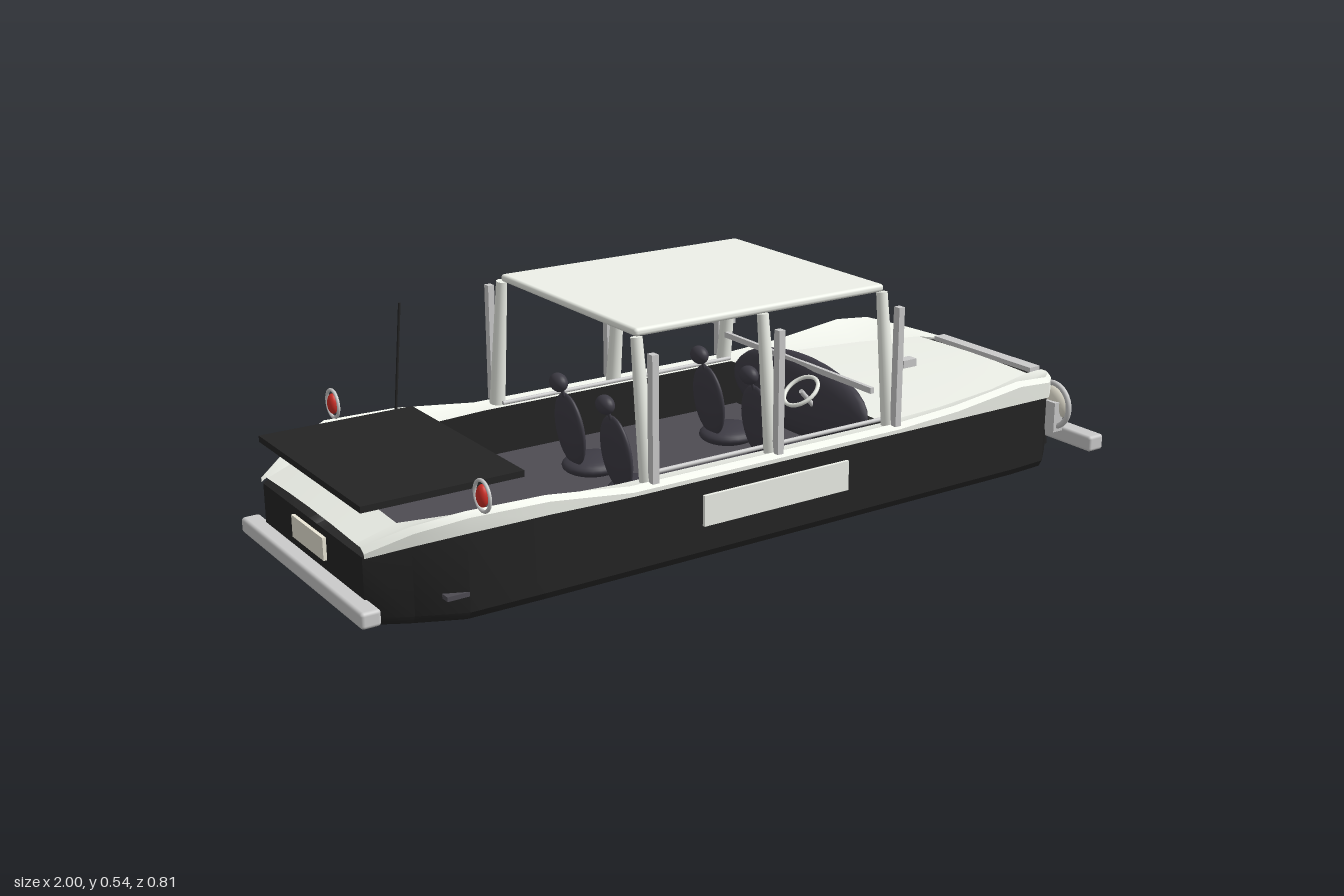
import * as THREE from 'three';
import { toCreasedNormals } from 'three/addons/utils/BufferGeometryUtils.js';
import { RoundedBoxGeometry } from 'three/addons/geometries/RoundedBoxGeometry.js';

const mat = (color) => new THREE.MeshStandardMaterial({ color, side: THREE.DoubleSide });
const white = mat(0xeef1e9), black = mat(0x242424), tubGrey = mat(0x4e4c53), seatGrey = mat(0x3e3c45);
const grey = mat(0xbcbcbc), cream = mat(0xece8d8), red = mat(0xd03028);

// Skin over cross-sections; each section is a list of [x, y, z]. Ends may be capped.
function loft(sections, capped = false) {
  const n = sections[0].length, pos = sections.flat(2), idx = [];
  for (let i = 0; i < sections.length - 1; i++)
    for (let j = 0; j < n - 1; j++) {
      const a = i * n + j, b = a + n;
      idx.push(a, b, a + 1, b, b + 1, a + 1);
    }
  if (capped)
    for (let j = 1; j < n - 1; j++) {
      const e = (sections.length - 1) * n;
      idx.push(0, j, j + 1, e, e + j + 1, e + j);
    }
  const g = new THREE.BufferGeometry();
  g.setAttribute('position', new THREE.Float32BufferAttribute(pos, 3));
  g.setIndex(idx);
  return toCreasedNormals(g, 0.5);
}

export function createModel() {
  const model = new THREE.Group();
  const car = new THREE.Group();
  car.name = 'openCar';
  car.position.z = 0.013;
  model.add(car);

  const add = (name, geo, m, x = 0, y = 0, z = 0) => {
    const mesh = new THREE.Mesh(geo, m);
    mesh.name = name;
    mesh.position.set(x, y, z);
    car.add(mesh);
    return mesh;
  };
  const box = (name, m, w, h, d, x, y, z) => add(name, new THREE.BoxGeometry(w, h, d), m, x, y, z);
  const ball = (name, m, rx, ry, rz, x, y, z) => {
    const b = add(name, new THREE.SphereGeometry(1, 24, 16), m, x, y, z);
    b.scale.set(rx, ry, rz);
    return b;
  };
  // Round bar from a (radius ra) to b (radius rb)
  const rod = (name, m, ra, a, b, rb = ra) => {
    const p = new THREE.Vector3(...a), q = new THREE.Vector3(...b);
    const mesh = add(name, new THREE.CylinderGeometry(rb, ra, p.distanceTo(q), 16), m);
    mesh.position.lerpVectors(p, q, 0.5);
    mesh.quaternion.setFromUnitVectors(new THREE.Vector3(0, 1, 0), q.sub(p).normalize());
  };

  // Body stations: x, outer half width, inner half width, rim top, rim bottom
  const stations = [
    [-0.965, 0.262, 0.225, 0.185, 0.165], [-0.88, 0.31, 0.235, 0.224, 0.188],
    [-0.78, 0.355, 0.255, 0.25, 0.208], [-0.6, 0.358, 0.278, 0.246, 0.208],
    [-0.4, 0.358, 0.298, 0.222, 0.203], [0.32, 0.358, 0.3, 0.222, 0.203],
    [0.5, 0.358, 0.288, 0.232, 0.203], [0.7, 0.358, 0.255, 0.256, 0.203],
    [0.8, 0.352, 0.225, 0.248, 0.2], [0.87, 0.29, 0.205, 0.228, 0.187],
    [0.955, 0.205, 0.17, 0.2, 0.165],
  ];
  const inner = (top) => Math.min(top, 0.213);

  // Dark open hull with a chamfered flat bottom
  add('hull', loft(stations.map(([x, w, , , low]) => {
    const v = w - 0.01;
    return [[x, low, -v], [x, 0.035, -v], [x, 0.018, -v + 0.01], [x, 0.009, -v + 0.03],
      [x, 0.009, v - 0.03], [x, 0.018, v - 0.01], [x, 0.035, v], [x, low, v]];
  }), true), black);

  // White rim with raised wings, one on each side
  for (const s of [1, -1])
    add('rim', loft(stations.map(([x, w, i, top, low]) => [
      [x, low, s * w], [x, top - 0.01, s * w], [x, top, s * (w - 0.015)],
      [x, inner(top) + (top - inner(top)) * 0.4, s * (w + i) / 2], [x, inner(top), s * i],
    ])), white);

  // Bonnet and tail deck
  const deck = (name, list) => add(name, loft(list.map(([x, , i, top]) =>
    [-1, -0.5, 0, 0.5, 1].map((t) => [x, inner(top) + 0.005 * (1 - t * t), t * i]))), white);
  deck('bonnet', stations.slice(5, 10));
  deck('tailDeck', stations.slice(0, 2));

  // Cabin floor between the hull sides
  box('floor', tubGrey, 1.2, 0.01, 0.69, -0.23, 0.075, 0);

  // Grille, nose and bumpers
  box('grille', black, 0.05, 0.1, 0.38, 0.885, 0.152, 0);
  box('nose', black, 0.06, 0.19, 0.36, 0.91, 0.1, 0);
  box('grilleTop', grey, 0.034, 0.014, 0.36, 0.923, 0.207, 0);
  box('grilleBar', grey, 0.016, 0.125, 0.022, 0.955, 0.138, 0);
  box('noseKeel', black, 0.05, 0.035, 0.38, 0.945, 0.02, 0);
  add('frontBumper', new RoundedBoxGeometry(0.048, 0.04, 0.728, 3, 0.008), grey, 0.966, 0.053, 0);
  add('rearBumper', new RoundedBoxGeometry(0.044, 0.036, 0.625, 3, 0.008), grey, -0.978, 0.057, 0);
  box('rearPlate', cream, 0.008, 0.05, 0.16, -0.97, 0.125, 0);
  box('bonnetOrnament', grey, 0.042, 0.02, 0.028, 0.65, 0.228, 0);

  // Rear lid, antenna
  box('rearLid', black, 0.365, 0.014, 0.515, -0.783, 0.266, 0);
  rod('antenna', black, 0.003, [-0.605, 0.24, -0.335], [-0.583, 0.495, -0.335]);

  // Details on both sides
  for (const s of [1, -1]) {
    ball('bumperStud', grey, 0.012, 0.013, 0.013, 0.988, 0.056, s * 0.153);
    box('sidePlate', white, 0.395, 0.07, 0.008, -0.022, 0.13, s * 0.352);

    // Headlamp, housing and guard ring
    ball('headlamp', cream, 0.024, 0.043, 0.043, 0.867, 0.165, s * 0.312);
    box('lampHousing', grey, 0.03, 0.075, 0.07, 0.85, 0.138, s * 0.306);
    const guard = add('lampGuard', new THREE.TorusGeometry(0.055, 0.007, 10, 32), grey, 0.85, 0.165, s * 0.318);
    guard.rotation.y = Math.PI / 2;

    // Round red tail lamp in its ring
    ball('tailLamp', red, 0.012, 0.024, 0.016, -0.75, 0.28, s * 0.355);
    const ring = add('tailRing', new THREE.TorusGeometry(0.032, 0.004, 8, 28), grey, -0.75, 0.28, s * 0.355);
    ring.rotation.y = Math.PI / 2;

    // Tapered roof posts with a slim upright beside each
    for (const x of [-0.345, -0.02, 0.315]) {
      rod('roofPost', white, 0.019, [x, 0.215, s * 0.327], [x, 0.522, s * 0.287], 0.013);
      box('sideUpright', grey, 0.016, 0.28, 0.019, x, 0.36, s * 0.349);
    }
    rod('sillRail', grey, 0.005, [-0.345, 0.222, s * 0.3], [0.315, 0.222, s * 0.3]);
  }

  // Roof and windscreen pieces
  add('roof', new RoundedBoxGeometry(0.67, 0.018, 0.576, 4, 0.008), white, -0.013, 0.53, 0);
  box('screenBar', grey, 0.01, 0.014, 0.575, 0.295, 0.291, 0);
  box('insideMirror', grey, 0.012, 0.03, 0.088, 0.305, 0.461, 0.003);
  box('doorMirror', grey, 0.05, 0.04, 0.042, 0.355, 0.31, -0.387);
  box('mirrorGlass', grey, 0.04, 0.036, 0.004, 0.355, 0.31, -0.416);

  // Dashboard cowl and steering wheel
  ball('dashboard', seatGrey, 0.042, 0.098, 0.26, 0.305, 0.208, 0).rotation.z = -0.12;
  rod('steeringColumn', grey, 0.006, [0.235, 0.252, 0.1], [0.29, 0.19, 0.1]);
  const wheel = add('steeringWheel', new THREE.TorusGeometry(0.045, 0.005, 8, 32), white, 0.235, 0.252, 0.1);
  wheel.quaternion.setFromUnitVectors(new THREE.Vector3(0, 0, 1), new THREE.Vector3(-0.6, 0.8, 0));

  // Seats in two rows
  for (const x of [-0.28, 0.11])
    for (const z of [-0.1, 0.1]) {
      ball('seatCushion', seatGrey, 0.075, 0.025, 0.07, x + 0.06, 0.105, z);
      ball('seatBack', seatGrey, 0.016, 0.09, 0.062, x, 0.2, z).rotation.z = 0.12;
      rod('headrestStalk', seatGrey, 0.004, [x - 0.005, 0.26, z], [x - 0.028, 0.32, z]);
      ball('headrest', seatGrey, 0.019, 0.022, 0.028, x - 0.028, 0.318, z);
    }

  return model;
}
